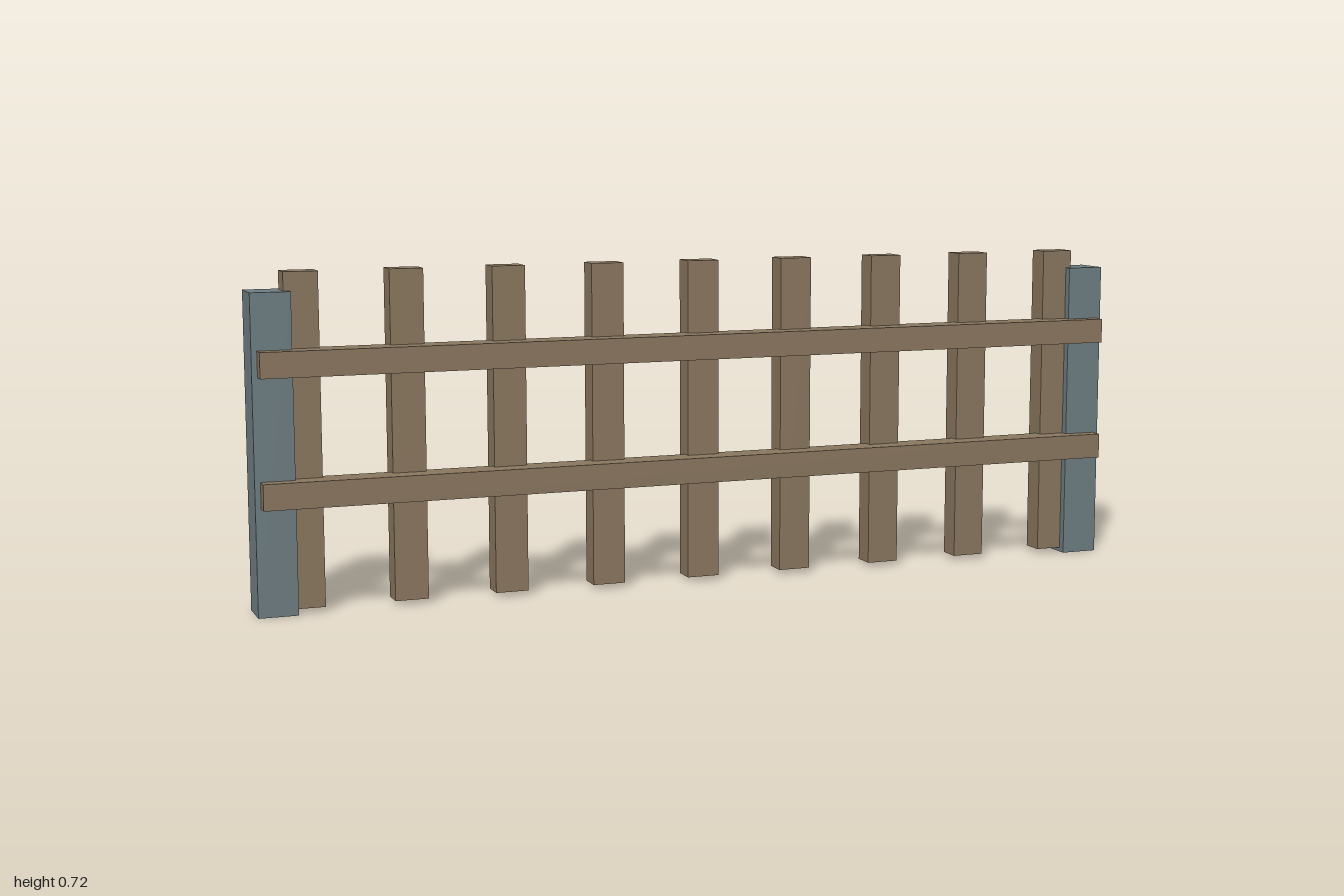
import * as THREE from 'three';

export function createModel() {
  const fence = new THREE.Group();
  fence.name = 'fence';

  const wood = new THREE.MeshStandardMaterial({ color: 0x8b7860 });
  wood.name = 'brown wood';
  const slate = new THREE.MeshStandardMaterial({ color: 0x6e7e83 });
  slate.name = 'slate grey';

  // Box given by its lower and upper corners
  function beam(name, material, [x0, y0, z0], [x1, y1, z1]) {
    const mesh = new THREE.Mesh(new THREE.BoxGeometry(x1 - x0, y1 - y0, z1 - z0), material);
    mesh.position.set((x0 + x1) / 2, (y0 + y1) / 2, (z0 + z1) / 2);
    mesh.name = name;
    fence.add(mesh);
  }

  // End posts
  beam('leftPost', slate, [0.915, 0, -0.058], [1, 0.68, 0.028]);
  beam('rightPost', slate, [-1, 0, -0.058], [-0.915, 0.68, 0.028]);

  // Horizontal rails, set into the front of posts and pickets
  beam('lowerRail', wood, [-0.988, 0.231, -0.008], [0.988, 0.287, 0.058]);
  beam('upperRail', wood, [-0.988, 0.505, -0.008], [0.988, 0.56, 0.058]);

  // Evenly spaced pickets
  for (let i = -4; i <= 4; i++) {
    const x = i * 0.2228;
    beam(`picket${i + 5}`, wood, [x - 0.0365, 0.01, -0.04], [x + 0.0365, 0.72, 0.011]);
  }

  return fence;
}
